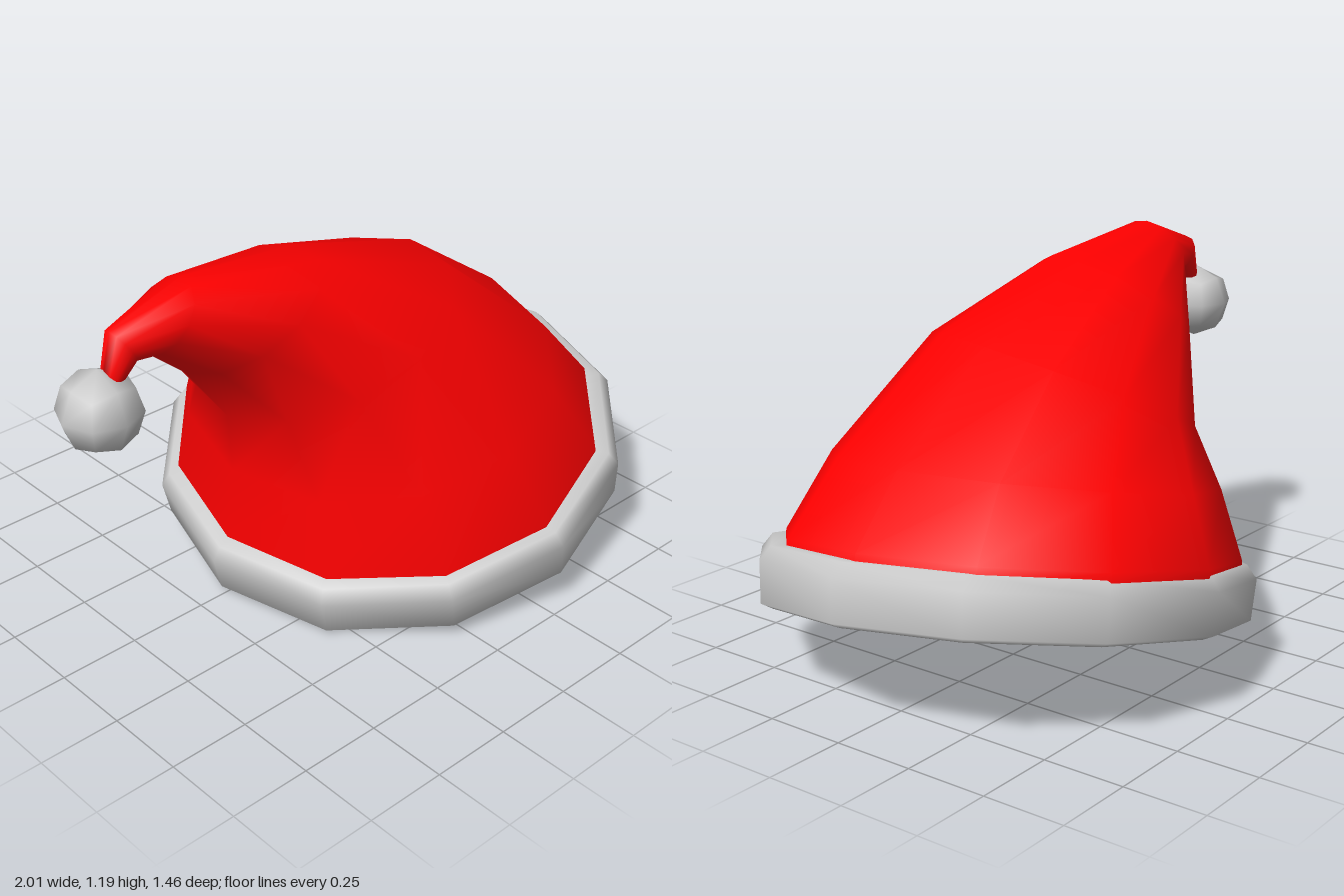
import * as THREE from 'three';

const SIDES = 12;

// Skin a list of rings (bottom to top) with outward faces and a closed end
function loft(rings) {
  const pos = [], idx = [];
  for (const { inner, outer, z, depth, roll } of rings) {
    for (let k = 0; k < SIDES; k++) {
      const a = (k / SIDES) * Math.PI * 2, c = Math.cos(a), s = Math.sin(a);
      pos.push(
        (inner[0] + outer[0]) / 2 + ((outer[0] - inner[0]) / 2) * c,
        (inner[1] + outer[1]) / 2 + ((outer[1] - inner[1]) / 2) * c + roll * s,
        z + depth * s);
    }
  }
  for (let r = 0; r < rings.length - 1; r++) {
    for (let k = 0; k < SIDES; k++) {
      const a = r * SIDES + k, b = r * SIDES + (k + 1) % SIDES;
      idx.push(a, a + SIDES, b, b, a + SIDES, b + SIDES);
    }
  }
  const last = (rings.length - 1) * SIDES;
  for (let k = 1; k < SIDES - 1; k++) idx.push(last, last + k + 1, last + k);
  const g = new THREE.BufferGeometry();
  g.setAttribute('position', new THREE.Float32BufferAttribute(pos, 3));
  g.setIndex(idx);
  g.computeVertexNormals();
  return g;
}

// Low-poly ball: a subdivided box pushed out to a sphere, smooth shaded
function ball(radius) {
  const g = new THREE.BoxGeometry(1, 1, 1, 2, 2, 2);
  const p = g.attributes.position, v = new THREE.Vector3();
  for (let i = 0; i < p.count; i++) {
    v.fromBufferAttribute(p, i).normalize();
    g.attributes.normal.setXYZ(i, v.x, v.y, v.z);
    p.setXYZ(i, v.x * radius, v.y * radius, v.z * radius);
  }
  return g;
}

export function createModel() {
  const hat = new THREE.Group();
  hat.name = 'hat';
  const red = new THREE.MeshStandardMaterial({ color: 0xff0000, side: THREE.DoubleSide });
  const grey = new THREE.MeshStandardMaterial({ color: 0xcccccc });

  // Fabric cone that leans over and folds down at the tip;
  // inner and outer are the [x, y] ends of each ring
  const cone = new THREE.Mesh(loft([
    { inner: [-0.38, 0.15], outer: [0.925, 0.46], z: -0.005, depth: 0.69, roll: -0.07 },
    { inner: [-0.385, 0.20], outer: [0.915, 0.51], z: -0.005, depth: 0.685, roll: -0.07 },
    { inner: [-0.37, 0.43], outer: [0.73, 0.69], z: 0.01, depth: 0.59, roll: -0.035 },
    { inner: [-0.39, 0.63], outer: [0.34, 0.955], z: 0.02, depth: 0.41, roll: 0.055 },
    { inner: [-0.57, 0.86], outer: [-0.17, 1.12], z: 0.07, depth: 0.243, roll: 0.04 },
    { inner: [-0.73, 1.0], outer: [-0.61, 1.185], z: 0.12, depth: 0.105, roll: 0.01 },
    { inner: [-0.775, 1.0], outer: [-0.845, 1.105], z: 0.117, depth: 0.05, roll: 0 },
    { inner: [-0.81, 0.97], outer: [-0.87, 0.975], z: 0.113, depth: 0.04, roll: 0 },
  ]), red);
  cone.name = 'cone';
  hat.add(cone);

  // Thick rounded trim, tilted, with a closed underside
  const profile = [[0, 0], [0.69, 0], [0.725, 0.014], [0.735, 0.135], [0.705, 0.176], [0.65, 0.18]]
    .map(([r, h]) => new THREE.Vector2(r, h));
  const trim = new THREE.Mesh(new THREE.LatheGeometry(profile, SIDES), grey);
  trim.name = 'trim';
  trim.position.set(0.302, 0.166, -0.005);
  trim.quaternion.setFromUnitVectors(
    new THREE.Vector3(0, 1, 0), new THREE.Vector3(-0.229, 1, 0.1).normalize());
  hat.add(trim);

  // Ball hanging from the tip
  const pompom = new THREE.Mesh(ball(0.12), grey);
  pompom.name = 'pompom';
  pompom.position.set(-0.882, 0.885, 0.105);
  hat.add(pompom);

  return hat;
}
